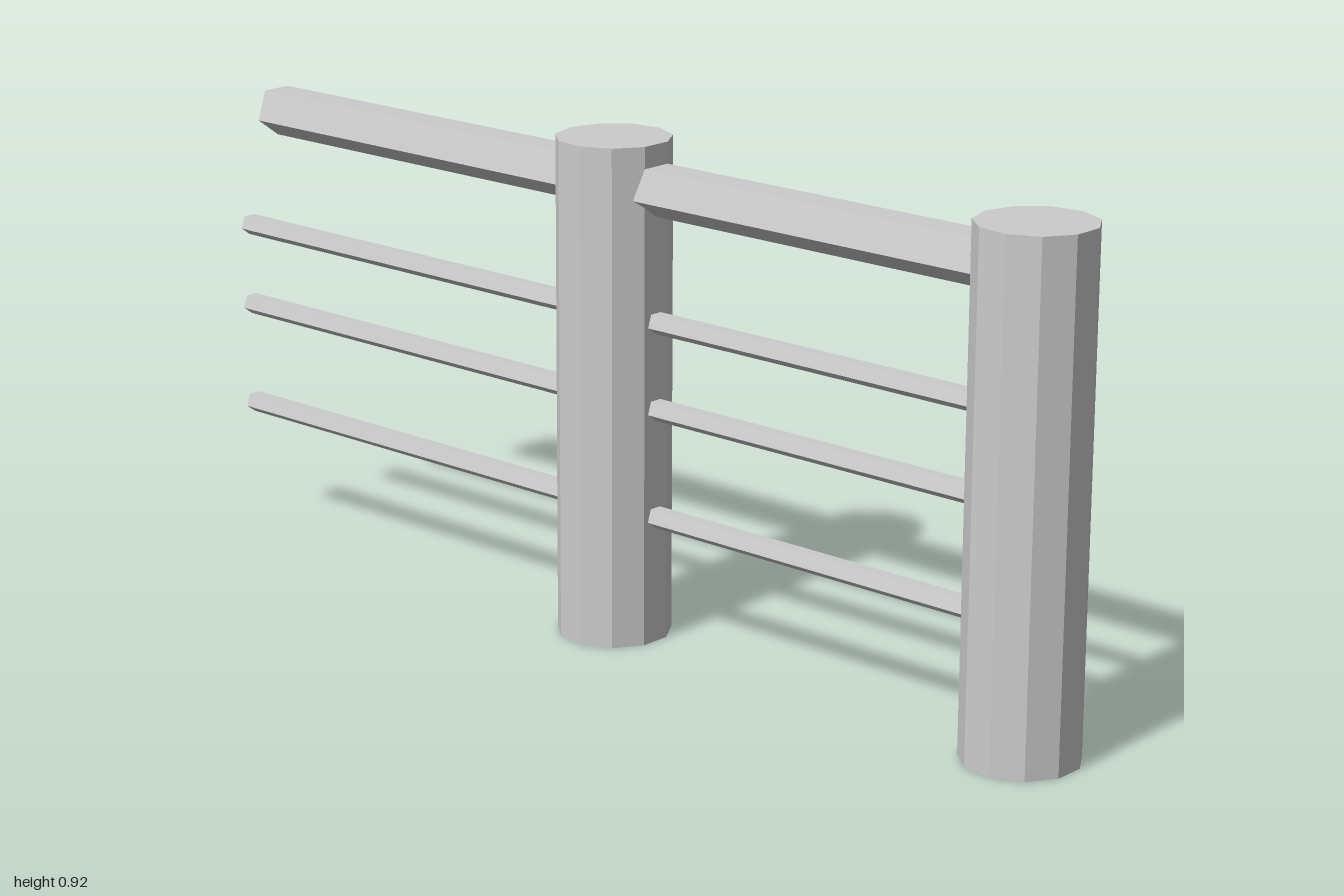
import * as THREE from 'three';

const material = new THREE.MeshStandardMaterial({ color: 0xcccccc, flatShading: true, side: THREE.DoubleSide });

function addMesh(parent, name, geometry) {
  const mesh = new THREE.Mesh(geometry, material);
  mesh.name = name;
  parent.add(mesh);
  return mesh;
}

// Eleven-sided post, closed on top and open underneath, flat face to the front
function addPost(parent, name, z) {
  const radius = 0.105, height = 0.92, sides = 11;
  const post = new THREE.Group();
  post.name = name;
  post.position.z = z;
  post.rotation.y = Math.PI;
  addMesh(post, 'postSide', new THREE.CylinderGeometry(radius, radius, height, sides, 1, true)
    .translate(0, height / 2, 0));
  // The cap starts on the same corner as the side wall
  addMesh(post, 'postTop', new THREE.CircleGeometry(radius, sides, Math.PI / 2)
    .rotateX(-Math.PI / 2).rotateY(Math.PI).translate(0, height, 0));
  parent.add(post);
}

// Five-sided rail along z, with a flat top and an edge underneath
function addRail(parent, name, radius, y, zFront, zBack) {
  const geometry = new THREE.CylinderGeometry(radius, radius, zFront - zBack, 5)
    .rotateX(Math.PI / 2)
    .translate(0, y, (zFront + zBack) / 2);
  addMesh(parent, name, geometry);
}

export function createModel() {
  const fence = new THREE.Group();
  fence.name = 'fence';

  addPost(fence, 'frontPost', 0.899);
  addPost(fence, 'middlePost', -0.025);

  // Thick handrail and three thin rails, running through the posts
  addRail(fence, 'handrail', 0.05, 0.84, 0.9, -0.91);
  [0.598, 0.438, 0.237].forEach((y, i) => addRail(fence, `thinRail${i + 1}`, 0.021, y, 0.9, -1));

  return fence;
}
